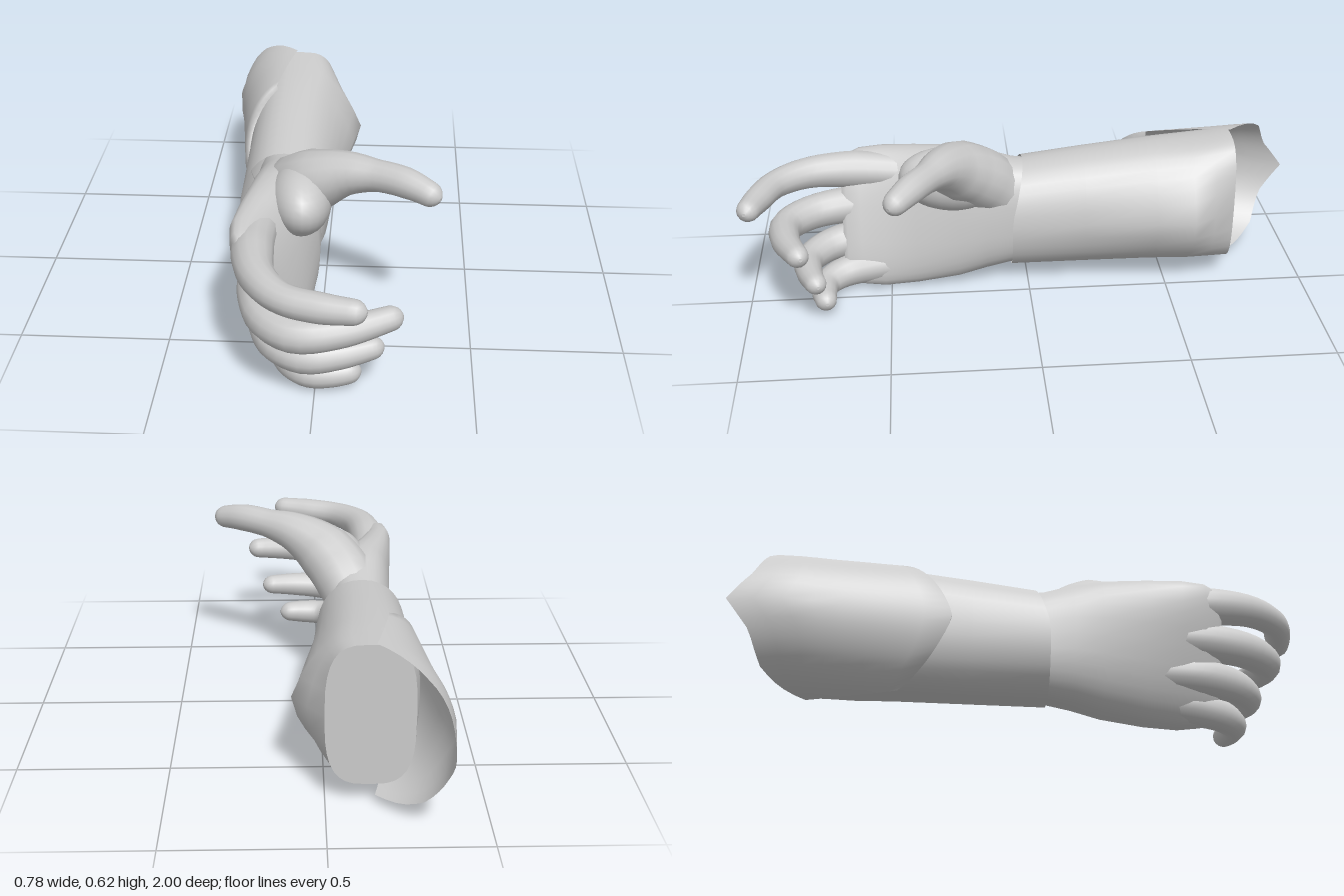
import * as THREE from 'three';

const material = new THREE.MeshStandardMaterial({ color: 0xcccccc, side: THREE.DoubleSide });

function mesh(name, geo) {
  const m = new THREE.Mesh(geo, material);
  m.name = name;
  return m;
}

function surface(name, pos, idx) {
  const geo = new THREE.BufferGeometry();
  geo.setAttribute('position', new THREE.Float32BufferAttribute(pos, 3));
  geo.setIndex(idx);
  geo.computeVertexNormals();
  return mesh(name, geo);
}

// Skin equal-length closed rings (counter-clockwise about the travel direction)
function loft(name, rings, capEnd = true) {
  const n = rings[0].length, pos = [], idx = [];
  rings.forEach(r => r.forEach(p => pos.push(p.x, p.y, p.z)));
  for (let i = 0; i < rings.length - 1; i++) {
    for (let j = 0; j < n; j++) {
      const k = (j + 1) % n;
      const a = i * n + j, b = i * n + k, c = a + n, d = b + n;
      idx.push(a, b, c, b, d, c);
    }
  }
  const cap = (ring, flip) => {
    const base = pos.length / 3;
    const mid = ring.reduce((s, p) => s.add(p), new THREE.Vector3()).divideScalar(n);
    [...ring, mid].forEach(p => pos.push(p.x, p.y, p.z));
    for (let j = 0; j < n; j++) {
      const k = (j + 1) % n;
      idx.push(base + n, base + (flip ? k : j), base + (flip ? j : k));
    }
  };
  cap(rings[0], true);
  if (capEnd) cap(rings[rings.length - 1], false);
  return surface(name, pos, idx);
}

// Rounded section facing z; lean shifts the lower edge towards +x
function section([z, cx, cy, a, b, lean = 0], power, n = 32) {
  const soft = v => Math.sign(v) * Math.abs(v) ** power;
  return Array.from({ length: n }, (_, j) => {
    const t = j / n * Math.PI * 2, s = soft(Math.sin(t));
    return new THREE.Vector3(cx + a * soft(Math.cos(t)) - lean * s, cy + b * s, z);
  });
}

// Piecewise linear lookup in [key, value] pairs with rising keys
function lookup(table, x) {
  let i = 1;
  while (i < table.length - 1 && x > table[i][0]) i++;
  const [x0, y0] = table[i - 1], [x1, y1] = table[i];
  return y0 + (y1 - y0) * THREE.MathUtils.clamp((x - x0) / (x1 - x0), 0, 1);
}

// Digit: round sweep through [x, y, z, radius] points with a rounded tip
function digit(name, points) {
  const curve = new THREE.CatmullRomCurve3(points.map(p => new THREE.Vector3(...p)));
  const steps = 28, n = 14, length = curve.getLength();
  const frames = curve.computeFrenetFrames(200);
  const radii = points.map((p, i) => [i / (points.length - 1), p[3]]);
  const rings = [];
  for (let i = 0; i <= steps; i++) {
    const f = Math.round((1 - (1 - i / steps) ** 1.6) * 200), u = f / 200;
    const c = curve.getPointAt(u);
    let r = lookup(radii, curve.getUtoTmapping(u));
    const left = (1 - u) * length;
    if (left < r) r *= Math.sqrt(Math.max(0.03, 1 - (1 - left / r) ** 2));
    rings.push(Array.from({ length: n }, (_, j) => {
      const t = j / n * Math.PI * 2;
      return c.clone()
        .addScaledVector(frames.normals[f], r * Math.cos(t))
        .addScaledVector(frames.binormals[f], r * Math.sin(t));
    }));
  }
  return loft(name, rings);
}

function buildHand() {
  const hand = new THREE.Group();
  hand.name = 'hand';
  // Palm from wrist to knuckles
  hand.add(loft('palm', [
    [-0.05, -0.14, 0.26, 0.11, 0.19],
    [0.05, -0.14, 0.262, 0.115, 0.2],
    [0.15, -0.135, 0.27, 0.122, 0.222, 0.01],
    [0.25, -0.137, 0.265, 0.12, 0.24, 0.025],
    [0.4, -0.155, 0.25, 0.098, 0.245, 0.055],
    [0.52, -0.165, 0.243, 0.08, 0.243, 0.075],
    [0.6, -0.163, 0.245, 0.068, 0.235, 0.075],
    [0.65, -0.155, 0.245, 0.05, 0.215, 0.07],
    [0.665, -0.15, 0.245, 0.03, 0.18, 0.06],
  ].map(s => section(s, 0.8))));
  // Fleshy mound and web between thumb and first finger
  const mound = mesh('thumbMound', new THREE.SphereGeometry(1, 24, 16));
  mound.scale.set(0.105, 0.115, 0.19);
  mound.position.set(-0.075, 0.425, 0.27);
  mound.rotation.set(-0.15, 0.1, 0);
  hand.add(mound);
  hand.add(digit('thumb', [
    [-0.14, 0.31, 0.05, 0.09], [-0.095, 0.41, 0.16, 0.112], [-0.02, 0.485, 0.25, 0.105],
    [0.08, 0.54, 0.305, 0.074], [0.18, 0.56, 0.355, 0.052], [0.28, 0.565, 0.415, 0.05],
    [0.38, 0.547, 0.485, 0.037]]));
  hand.add(digit('indexFinger', [
    [-0.195, 0.4, 0.4, 0.06], [-0.2, 0.417, 0.62, 0.068], [-0.165, 0.425, 0.78, 0.056],
    [-0.085, 0.425, 0.885, 0.048], [0.03, 0.428, 0.935, 0.047], [0.165, 0.437, 0.97, 0.036]]));
  hand.add(digit('middleFinger', [
    [-0.19, 0.29, 0.4, 0.06], [-0.185, 0.285, 0.62, 0.068], [-0.145, 0.278, 0.77, 0.062],
    [-0.05, 0.278, 0.855, 0.057], [0.09, 0.292, 0.85, 0.05], [0.27, 0.315, 0.785, 0.036]]));
  hand.add(digit('ringFinger', [
    [-0.16, 0.17, 0.4, 0.06], [-0.16, 0.163, 0.6, 0.066], [-0.12, 0.152, 0.72, 0.058],
    [-0.03, 0.148, 0.785, 0.052], [0.08, 0.158, 0.78, 0.046], [0.215, 0.172, 0.74, 0.034]]));
  hand.add(digit('littleFinger', [
    [-0.11, 0.09, 0.38, 0.06], [-0.105, 0.075, 0.56, 0.064], [-0.08, 0.06, 0.67, 0.056],
    [-0.02, 0.052, 0.73, 0.048], [0.06, 0.055, 0.735, 0.044], [0.145, 0.06, 0.72, 0.034]]));
  return hand;
}

// Flaring sleeve, open at the wrist, boxier at the elbow, with a pointed inner bulge
function buildSleeve() {
  const bulge = [[-0.74, 0], [-0.58, 0.075], [-0.2, 0.02], [0, 0]];
  const rings = [
    [[-0.735, -0.14, 0.3, 0.14, 0.235], 0.62],
    [[-0.66, -0.135, 0.298, 0.155, 0.232], 0.68],
    [[-0.58, -0.135, 0.293, 0.168, 0.23], 0.75],
    [[-0.45, -0.14, 0.287, 0.165, 0.227], 0.82],
    [[-0.2, -0.146, 0.27, 0.158, 0.217], 0.88],
    [[0.06, -0.148, 0.255, 0.156, 0.205], 0.92],
  ].map(([s, power]) => section(s, power));
  rings.forEach(r => r.forEach(p => {
    if (p.x > -0.1) p.x += lookup(bulge, p.z) * Math.max(0, 1 - Math.abs(p.y - 0.28) / 0.19);
  }));
  // Slanted front rim
  rings[rings.length - 1].forEach(p => { p.z -= Math.max(0, p.y - 0.28) * 0.25; });
  return loft('sleeve', rings, false);
}

// Curved guard over the outer forearm, pointed at both ends; first row is the inner lip
function buildGuard() {
  const backEdge = [[0, -1], [0.27, -0.92], [0.59, -0.88], [0.8, -0.82], [1, -0.74]];
  const depth = [[-1, 0.215], [-0.8, 0.238], [-0.65, 0.21], [-0.27, 0.165]];
  const cols = 24, rows = 9, pos = [], idx = [];
  for (let i = 0; i <= rows; i++) {
    const s = Math.max(0, i - 1) / (rows - 1), inset = i === 0 ? 0.9 : 1;
    for (let j = 0; j <= cols; j++) {
      const t = j / cols * 2 - 1, m = Math.abs(t);
      const a = t * Math.PI / 2 * (0.8 + 0.2 * s);
      const front = -0.27 - 0.17 * m ** 1.3;
      const z = front + (lookup(backEdge, m) - front) * s;
      pos.push(-0.155 - inset * lookup(depth, z) * Math.cos(a),
        0.285 + inset * (0.245 + 0.01 * s) * Math.sin(a), z);
      if (i < rows && j < cols) {
        const p = i * (cols + 1) + j, q = p + cols + 1;
        idx.push(p, p + 1, q, p + 1, q + 1, q);
      }
    }
  }
  return surface('forearmGuard', pos, idx);
}

export function createModel() {
  const model = new THREE.Group();
  model.name = 'gloveAndForearm';
  model.add(buildHand(), buildSleeve(), buildGuard());
  return model;
}
